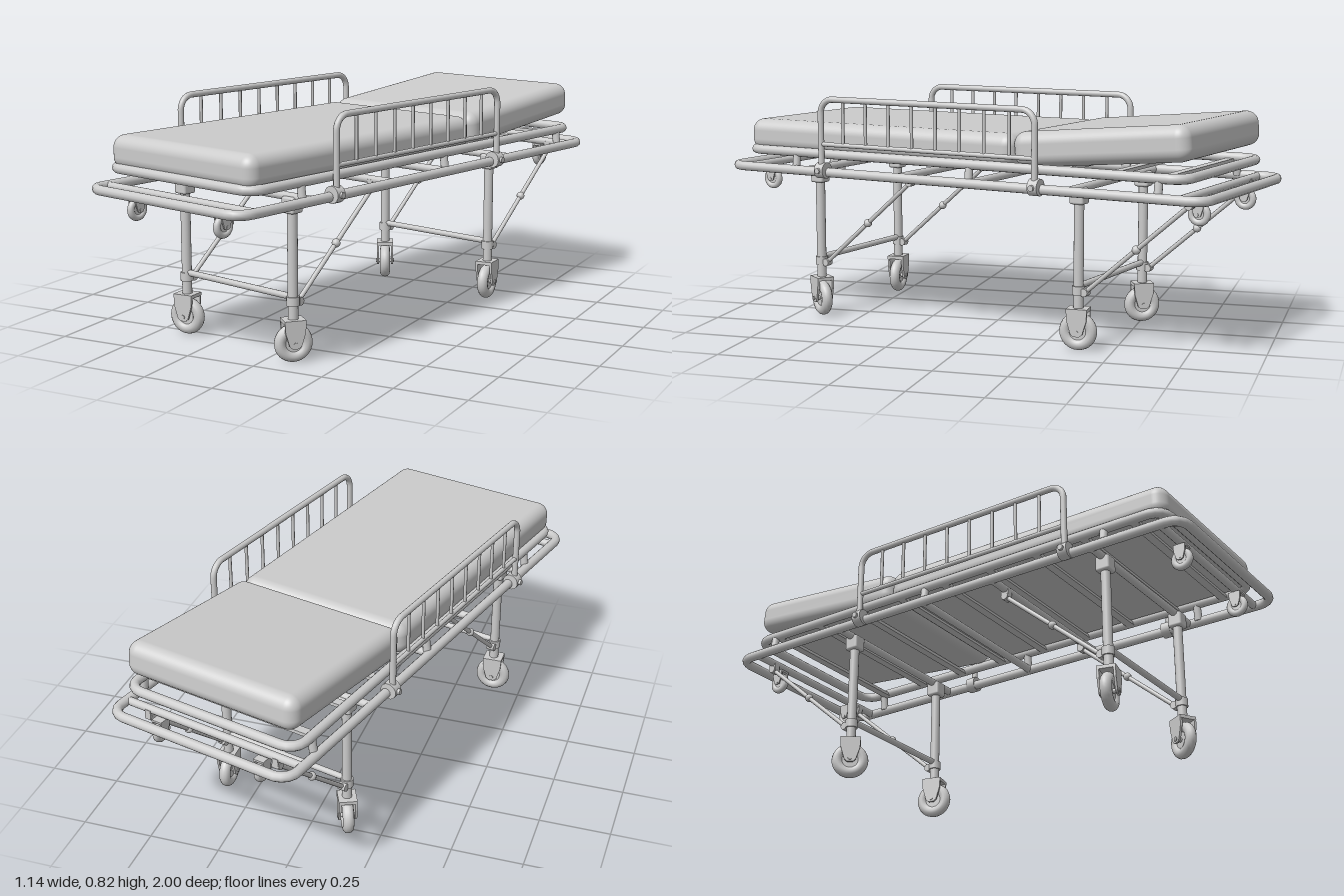
import * as THREE from 'three';
import { RoundedBoxGeometry } from 'three/addons/geometries/RoundedBoxGeometry.js';

const material = new THREE.MeshStandardMaterial({ color: 0xcccccc });
const V = (x, y, z) => new THREE.Vector3(x, y, z);

function add(parent, name, geometry, x = 0, y = 0, z = 0) {
  const mesh = new THREE.Mesh(geometry, material);
  mesh.name = name;
  mesh.position.set(x, y, z);
  parent.add(mesh);
  return mesh;
}

// Straight round bar between two points
function bar(parent, name, a, b, radius, sides = 12) {
  const mesh = add(parent, name, new THREE.CylinderGeometry(radius, radius, a.distanceTo(b), sides));
  mesh.position.copy(a).add(b).multiplyScalar(0.5);
  mesh.quaternion.setFromUnitVectors(V(0, 1, 0), b.clone().sub(a).normalize());
  return mesh;
}

// Bent tube through corner points, each corner rounded by the bend size
function bentTube(points, bend, radius, closed, segments) {
  const path = new THREE.CurvePath();
  const n = points.length;
  const toward = (p, q) => p.clone().add(q.clone().sub(p).setLength(bend));
  let pen = closed ? toward(points[0], points[1]) : points[0];
  for (let i = 1; i < (closed ? n + 1 : n - 1); i++) {
    const corner = points[i % n];
    const start = toward(corner, points[i - 1]);
    const end = toward(corner, points[(i + 1) % n]);
    path.add(new THREE.LineCurve3(pen, start));
    // Cubic handles approximate a circular bend
    path.add(new THREE.CubicBezierCurve3(start, start.clone().lerp(corner, 0.552), end.clone().lerp(corner, 0.552), end));
    pen = end;
  }
  if (!closed) path.add(new THREE.LineCurve3(pen, points[n - 1]));
  return new THREE.TubeGeometry(path, segments, radius, 12, closed);
}

// Castor with its origin at the axle, rolling along z
function makeCastor(name) {
  const castor = new THREE.Group();
  castor.name = name;
  add(castor, 'tyre', new THREE.TorusGeometry(0.045, 0.02, 12, 32)).rotation.y = Math.PI / 2;
  add(castor, 'hub', new THREE.CylinderGeometry(0.035, 0.035, 0.022, 24)).rotation.z = Math.PI / 2;
  add(castor, 'axle', new THREE.CylinderGeometry(0.008, 0.008, 0.07, 12)).rotation.z = Math.PI / 2;
  const plate = new THREE.Shape([[-0.036, 0.08], [-0.034, 0.04], [-0.02, -0.006], [-0.01, -0.014],
    [0.01, -0.014], [0.02, -0.006], [0.034, 0.04], [0.036, 0.08]].map(([x, y]) => new THREE.Vector2(x, y)));
  const plateGeometry = new THREE.ExtrudeGeometry(plate, { depth: 0.008, bevelEnabled: false });
  plateGeometry.translate(0, 0, -0.004).rotateY(Math.PI / 2);
  for (const side of [-1, 1]) add(castor, 'forkPlate', plateGeometry, side * 0.028);
  add(castor, 'forkCrown', new THREE.BoxGeometry(0.064, 0.012, 0.072), 0, 0.074, 0);
  return castor;
}

// Frame hoop lying flat
function addHoop(parent, name, halfWidth, halfLength, y) {
  const corners = [V(-halfWidth, y, halfLength), V(halfWidth, y, halfLength),
    V(halfWidth, y, -halfLength), V(-halfWidth, y, -halfLength)];
  add(parent, name, bentTube(corners, 0.055, 0.017, true, 240));
}

function addSideRail(parent, side) {
  const rail = new THREE.Group();
  rail.name = side > 0 ? 'leftSideRail' : 'rightSideRail';
  parent.add(rail);
  const x = side * 0.36, front = 0.517, back = -0.35;
  add(rail, 'railHoop', bentTube([V(x, 0.55, front), V(x, 0.81, front), V(x, 0.81, back), V(x, 0.55, back)],
    0.05, 0.011, false, 120));
  bar(rail, 'lowerRailBar', V(x, 0.65, front), V(x, 0.65, back), 0.008);
  for (let i = 1; i < 9; i++) {
    const z = THREE.MathUtils.lerp(front, back, i / 9);
    bar(rail, 'baluster', V(x, 0.65, z), V(x, 0.81, z), 0.006, 8);
  }
  for (const z of [front, back]) {
    bar(rail, 'railClamp', V(side * 0.353, 0.556, z - 0.018), V(side * 0.353, 0.556, z + 0.018), 0.029, 20);
    bar(rail, 'clampBolt', V(side * 0.34, 0.556, z), V(side * 0.39, 0.556, z), 0.01);
  }
}

// Pair of legs with castors, crossbar and folding braces
function addLegPair(parent, name, z, yaws) {
  const pair = new THREE.Group();
  pair.name = name;
  parent.add(pair);
  const footZ = z - 0.025, topZ = z - 0.395;
  [-1, 1].forEach((side, i) => {
    const x = side * 0.25;
    bar(pair, 'leg', V(x, 0.14, z), V(x, 0.55, z), 0.017, 16);
    add(pair, 'legSocket', new RoundedBoxGeometry(0.052, 0.055, 0.052, 2, 0.008), x, 0.523, z);
    add(pair, 'legCollar', new THREE.CylinderGeometry(0.022, 0.022, 0.03, 16), x, 0.205, z);
    const castor = makeCastor('legCastor');
    castor.position.set(x, 0.065, z);
    castor.rotation.y = yaws[i];
    pair.add(castor);

    const low = V(x, 0.2, footZ), high = V(x, 0.52, topZ);
    bar(pair, 'brace', low, high, 0.008, 10);
    const middle = low.clone().lerp(high, 0.5);
    add(pair, 'braceJoint', new THREE.SphereGeometry(0.015, 12, 8), middle.x, middle.y, middle.z);
    for (const p of [low, high]) {
      bar(pair, 'bracePin', V(x - 0.014, p.y, p.z), V(x + 0.014, p.y, p.z), 0.014);
    }
    add(pair, 'braceHanger', new THREE.BoxGeometry(0.022, 0.035, 0.03), x, 0.532, topZ);
  });
  bar(pair, 'legCrossbar', V(-0.25, 0.218, z), V(0.25, 0.218, z), 0.011);
}

export function createModel() {
  const model = new THREE.Group();
  model.name = 'hospitalStretcher';
  const turn = THREE.MathUtils.degToRad(-14.2);
  const body = new THREE.Group();
  body.name = 'stretcherBody';
  body.rotation.y = turn;
  model.add(body);

  // Twin frame hoops, spacers and cross members
  addHoop(body, 'lowerFrame', 0.345, 0.939, 0.548);
  addHoop(body, 'upperFrame', 0.327, 0.866, 0.611);
  for (const side of [-1, 1]) {
    for (const z of [0.65, -0.08, -0.78]) {
      bar(body, 'frameSpacer', V(side * 0.336, 0.548, z), V(side * 0.327, 0.611, z), 0.014);
    }
  }
  for (const z of [0.865, 0.607, 0.212, -0.08, -0.458, -0.853]) {
    bar(body, 'lowerCrossTube', V(-0.345, 0.548, z), V(0.345, 0.548, z), 0.014);
  }
  for (let i = 0; i < 9; i++) {
    add(body, 'mattressSlat', new THREE.BoxGeometry(0.65, 0.012, 0.03), 0, 0.602, 0.76 - i * 0.19);
  }

  // Flat mattress section and tilted back rest
  add(body, 'mattress', new RoundedBoxGeometry(0.654, 0.115, 1.117, 6, 0.042), 0, 0.6635, 0.3135);
  const backRest = new THREE.Group();
  backRest.name = 'backRest';
  backRest.position.set(0, 0.607, -0.245);
  backRest.rotation.x = THREE.MathUtils.degToRad(5.2);
  body.add(backRest);
  add(backRest, 'backRestCushion', new RoundedBoxGeometry(0.654, 0.12, 0.635, 6, 0.042), 0, 0.06, -0.3175);

  for (const side of [-1, 1]) addSideRail(body, side);

  // Swivelled castors: yaw is given in world terms
  const yaw = (degrees) => THREE.MathUtils.degToRad(degrees) - turn;
  addLegPair(body, 'frontLegs', 0.607, [yaw(90), yaw(-45)]);
  addLegPair(body, 'backLegs', -0.458, [yaw(25), yaw(0)]);

  // Small loading wheels under both ends
  for (const z of [0.865, -0.865]) {
    for (const x of [-0.2, 0.2]) {
      const wheel = makeCastor('loadingWheel');
      wheel.position.set(x, 0.487, z);
      wheel.scale.setScalar(0.6);
      body.add(wheel);
    }
  }
  return model;
}
